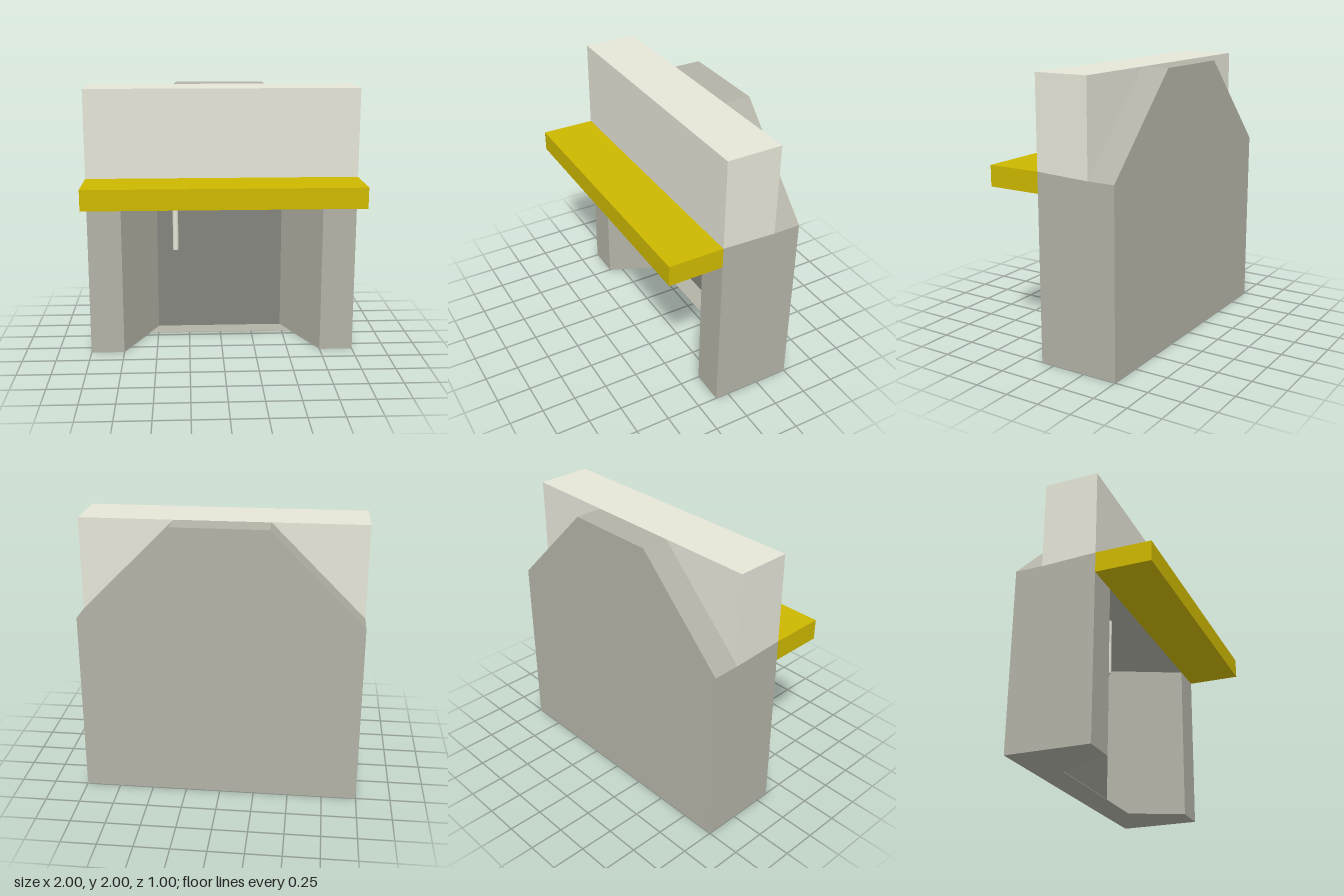
import * as THREE from 'three';

export function createModel() {
  const root = new THREE.Group();
  root.name = 'fireplace';

  const mat = (name, color) => new THREE.MeshStandardMaterial({ name, color });
  const stone = mat('stone grey', 0xb2b2a6);
  const soot = mat('dark firebox grey', 0x84847d);
  const pale = mat('pale grey', 0xe5e5d8);
  const ochre = mat('ochre', 0xcdb800);

  const add = (name, geometry, material) => {
    const mesh = new THREE.Mesh(geometry, material);
    mesh.name = name;
    root.add(mesh);
    return mesh;
  };

  // Upright prism from a half outline of [x, z] points, mirrored in x
  const prism = (half, y0, y1) => {
    const pts = [...half, ...half.map(([x, z]) => [-x, z]).reverse()];
    const shape = new THREE.Shape(pts.map(([x, z]) => new THREE.Vector2(x, -z)));
    const g = new THREE.ExtrudeGeometry(shape, { depth: y1 - y0, bevelEnabled: false });
    return g.rotateX(-Math.PI / 2).translate(0, y0, 0);
  };

  // Height of the gently sloping joint between the surround and chimney breast
  const jointY = z => 1.333 + 0.017 * Math.max(0, (z + 0.3) / 0.4);

  // Surround: back wall and two splayed cheeks
  const body = prism([[0.5, -0.45], [0.75, 0.1], [1, 0.1], [1, -0.3], [1, -0.5]], 0, 1.333);
  const p = body.attributes.position;
  for (let i = 0; i < p.count; i++) if (p.getY(i) > 1) p.setY(i, jointY(p.getZ(i)));
  body.computeVertexNormals();

  // The rear face of the firebox takes the dark material
  body.clearGroups();
  for (let i = 0; i < p.count; i += 3) {
    const rear = [0, 1, 2].every(k => Math.abs(p.getZ(i + k) + 0.45) < 0.001);
    body.addGroup(i, 3, rear ? 1 : 0);
  }
  add('surround', body, [stone, soot]);

  // Firebox floor strip and ceiling
  add('fireboxFloor', prism([[0.5, -0.45], [0.568, -0.3]], 0, 0.004), stone);
  add('fireboxCeiling', prism([[0.5, -0.45], [0.75, 0.1]], 1.2, 1.33), stone);

  // Tapered gable behind the chimney breast
  const gable = new THREE.Shape([[-1, 1.333], [1, 1.333], [0.335, 2], [-0.335, 2]]
    .map(([x, y]) => new THREE.Vector2(x, y)));
  add('gable', new THREE.ExtrudeGeometry(gable, { depth: 0.2, bevelEnabled: false })
    .translate(0, 0, -0.5), stone);

  // Chimney breast, its underside following the joint
  const breast = new THREE.BoxGeometry(2, 0.65, 0.4).translate(0, 1.675, -0.1);
  const b = breast.attributes.position;
  for (let i = 0; i < b.count; i++) if (b.getY(i) < 1.5) b.setY(i, jointY(b.getZ(i)));
  add('chimneyBreast', breast, pale);

  // Mantel shelf
  add('mantel', new THREE.BoxGeometry(2, 0.15, 0.4), ochre).position.set(0, 1.275, 0.3);

  // Damper handle hanging in the opening
  add('damperHandle', new THREE.CylinderGeometry(0.021, 0.021, 0.415, 20), pale)
    .position.set(-0.35, 0.97, -0.08);

  return root;
}
